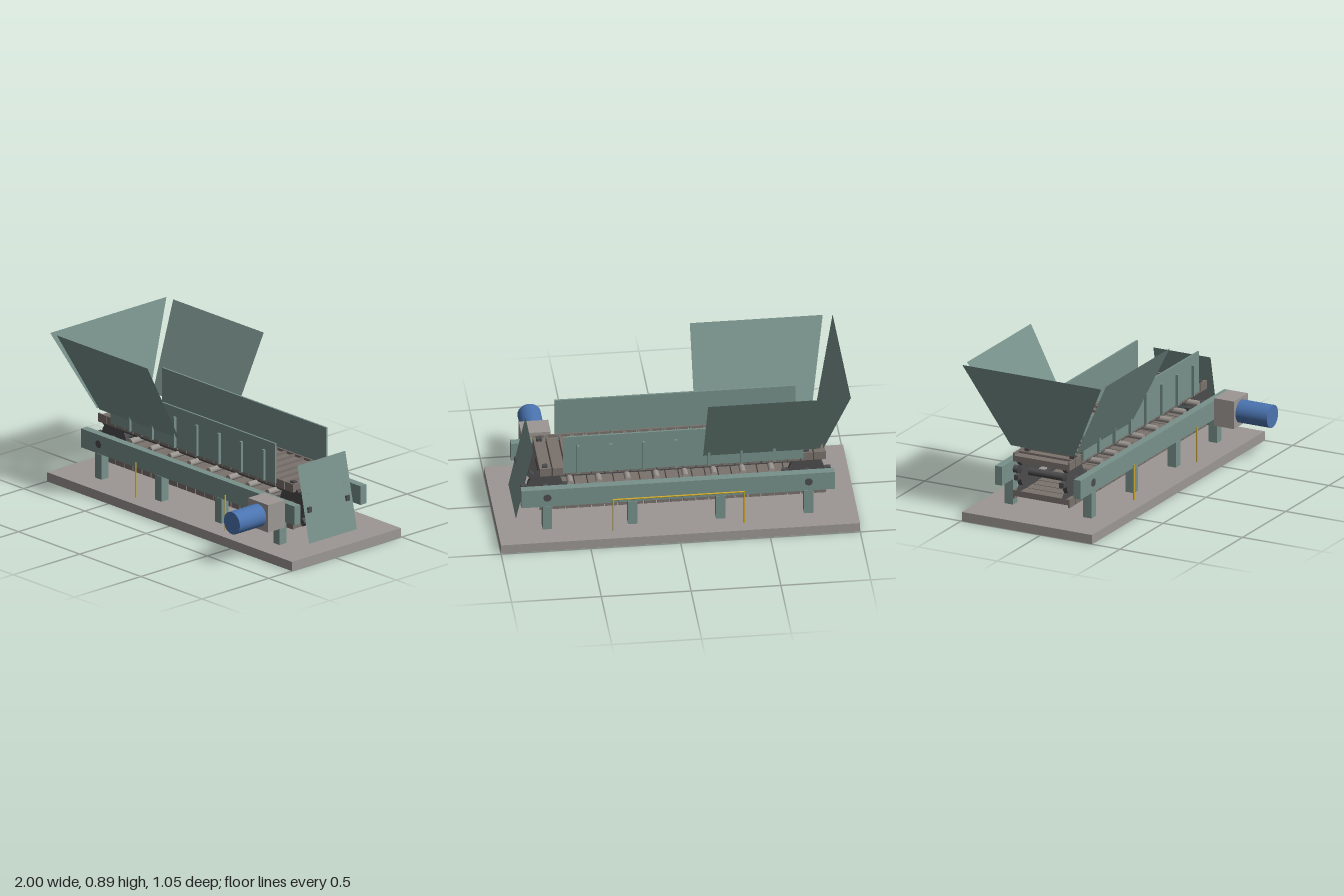
import * as THREE from 'three';

const mat = (name, color, side = THREE.FrontSide) => {
  const m = new THREE.MeshStandardMaterial({ color, side });
  m.name = name;
  return m;
};

export function createModel() {
  const root = new THREE.Group();
  root.name = 'apronFeeder';
  const green = mat('green paint', 0x78918b);
  const greenSheet = mat('green sheet', 0x78918b, THREE.DoubleSide);
  const grey = mat('light grey', 0x9c9794);
  const panMat = mat('pan steel', 0x7a726d);
  const dark = mat('dark steel', 0x4c4c4e);
  const roller = mat('roller steel', 0x9a948f);
  const blue = mat('motor blue', 0x4b74b0);
  const yellow = mat('safety yellow', 0xd0ac2c);

  const CZ = -0.085; // centre line of the conveyor
  const AXLE_Y = 0.257;
  const TAIL_X = -0.73, HEAD_X = 0.725;

  const add = (name, geo, material, parent = root) => {
    const m = new THREE.Mesh(geo, material);
    m.name = name;
    parent.add(m);
    return m;
  };
  // Box given by its limits on each axis
  const box = (name, material, [x0, x1], [y0, y1], [z0, z1], parent = root) => {
    const m = add(name, new THREE.BoxGeometry(x1 - x0, y1 - y0, z1 - z0), material, parent);
    m.position.set((x0 + x1) / 2, (y0 + y1) / 2, (z0 + z1) / 2);
    return m;
  };
  // Cylinder along z
  const rodZ = (name, material, r, x, y, z0, z1, sides = 32) => {
    const geo = new THREE.CylinderGeometry(r, r, z1 - z0, sides).rotateX(Math.PI / 2);
    const m = add(name, geo, material);
    m.position.set(x, y, (z0 + z1) / 2);
    return m;
  };
  // Flat four-cornered sheet
  const sheet = (name, corners) => {
    const geo = new THREE.BufferGeometry();
    geo.setAttribute('position', new THREE.Float32BufferAttribute(corners.flat(), 3));
    geo.setIndex([0, 1, 2, 0, 2, 3]);
    geo.computeVertexNormals();
    return add(name, geo, greenSheet);
  };
  // z limits on one side of the centre line
  const sideZ = (s, a, b) => (s > 0 ? [CZ + a, CZ + b] : [CZ - b, CZ - a]);

  box('basePlate', grey, [-1, 1], [0, 0.054], [-0.495, 0.325]);

  for (const s of [1, -1]) {
    // Frame beams and legs
    box('frameBeam', green, [-0.875, 0.87], [0.2, 0.31], sideZ(s, 0.225, 0.27));
    for (const x of [TAIL_X, -0.24, 0.25, HEAD_X])
      box('leg', green, [x - 0.026, x + 0.026], [0.054, 0.2], sideZ(s, 0.22, 0.273));

    // Skirt walls with stiffening ribs
    box('skirtWall', green, [-0.71, 0.63], [0.365, 0.6], sideZ(s, 0.187, 0.198));
    for (let i = -3; i <= 3; i++) {
      const x = i * 0.182;
      box('skirtRib', green, [x - 0.0075, x + 0.0075], [0.365, 0.545], sideZ(s, 0.198, 0.214));
    }

    // Sloping hopper side
    sheet('hopperSide', [
      [-0.8, 0.425, CZ + s * 0.2], [-0.15, 0.425, CZ + s * 0.2],
      [-0.15, 0.893, CZ + s * 0.437], [-0.89, 0.893, CZ + s * 0.437],
    ]);

    // Chain strands
    const cz = CZ + s * 0.143;
    for (const y of [0.327, 0.184])
      box('chain', dark, [TAIL_X, HEAD_X], [y - 0.01, y + 0.01], [cz - 0.01, cz + 0.01]);

    // Sprockets with block teeth
    for (const x of [TAIL_X, HEAD_X]) {
      const sprocket = new THREE.Group();
      sprocket.name = 'sprocket';
      sprocket.position.set(x, AXLE_Y, cz);
      root.add(sprocket);
      add('sprocketDisc', new THREE.CylinderGeometry(0.1, 0.1, 0.026, 32).rotateX(Math.PI / 2), dark, sprocket);
      for (let i = 0; i < 8; i++) {
        const tooth = add('sprocketTooth', new THREE.BoxGeometry(0.03, 0.05, 0.026).translate(0, 0.111, 0), dark, sprocket);
        tooth.rotation.z = i * Math.PI / 4;
      }
    }
  }

  // Hopper back and discharge chute
  sheet('hopperBack', [
    [-0.82, 0.425, CZ + 0.2], [-0.82, 0.425, CZ - 0.2],
    [-0.945, 0.893, CZ - 0.437], [-0.945, 0.893, CZ + 0.437],
  ]);
  sheet('dischargeChute', [
    [0.89, 0.075, CZ + 0.18], [0.89, 0.075, CZ - 0.18],
    [0.795, 0.51, CZ - 0.18], [0.795, 0.51, CZ + 0.18],
  ]);

  // Apron pans: carrying run on top, upside-down return run below
  const PANS = 22, pitch = 1.6 / PANS;
  for (const [runY, dir] of [[0.34, 1], [0.172, -1]]) {
    for (let i = 0; i < PANS; i++) {
      const pan = new THREE.Group();
      pan.name = dir > 0 ? 'carryingPan' : 'returnPan';
      pan.position.set(-0.84 + (i + 0.5) * pitch, runY, CZ);
      pan.rotation.x = dir > 0 ? 0 : Math.PI;
      root.add(pan);
      const h = pitch / 2 - 0.003;
      box('panFloor', panMat, [-h, h], [0, 0.034], [-0.178, 0.178], pan);
      box('panCleat', panMat, [h - 0.012, h], [0.034, 0.046], [-0.168, 0.168], pan);
      for (const s of [1, -1])
        box('panEnd', panMat, [-h, h], [0.034, 0.049], s > 0 ? [0.168, 0.178] : [-0.178, -0.168], pan);
    }
  }

  // Carrying rollers
  for (let i = 0; i < 8; i++)
    rodZ('carryingRoller', roller, 0.0175, -0.53 + i * 0.16, 0.3075, CZ - 0.217, CZ + 0.217, 20);

  // Tail and head shafts
  for (const x of [TAIL_X, HEAD_X])
    rodZ('shaft', dark, 0.022, x, AXLE_Y, CZ - 0.274, CZ + 0.274, 24);

  // Drive
  rodZ('coupling', yellow, 0.053, HEAD_X, AXLE_Y, 0.18, 0.2);
  box('gearbox', grey, [0.642, 0.806], [0.175, 0.336], [0.2, 0.325]);
  rodZ('motor', blue, 0.065, HEAD_X, AXLE_Y, 0.325, 0.523, 40);

  // Pull-cord posts and rear cord
  for (const z of [0.243, -0.413])
    for (const x of [-0.365, 0.365]) {
      const post = add('cordPost', new THREE.CylinderGeometry(0.0045, 0.0045, 0.204, 12), yellow);
      post.position.set(x, 0.156, z);
    }
  const cord = add('pullCord', new THREE.CylinderGeometry(0.0045, 0.0045, 0.735, 12).rotateZ(Math.PI / 2), yellow);
  cord.position.set(0, 0.255, -0.413);

  return root;
}
